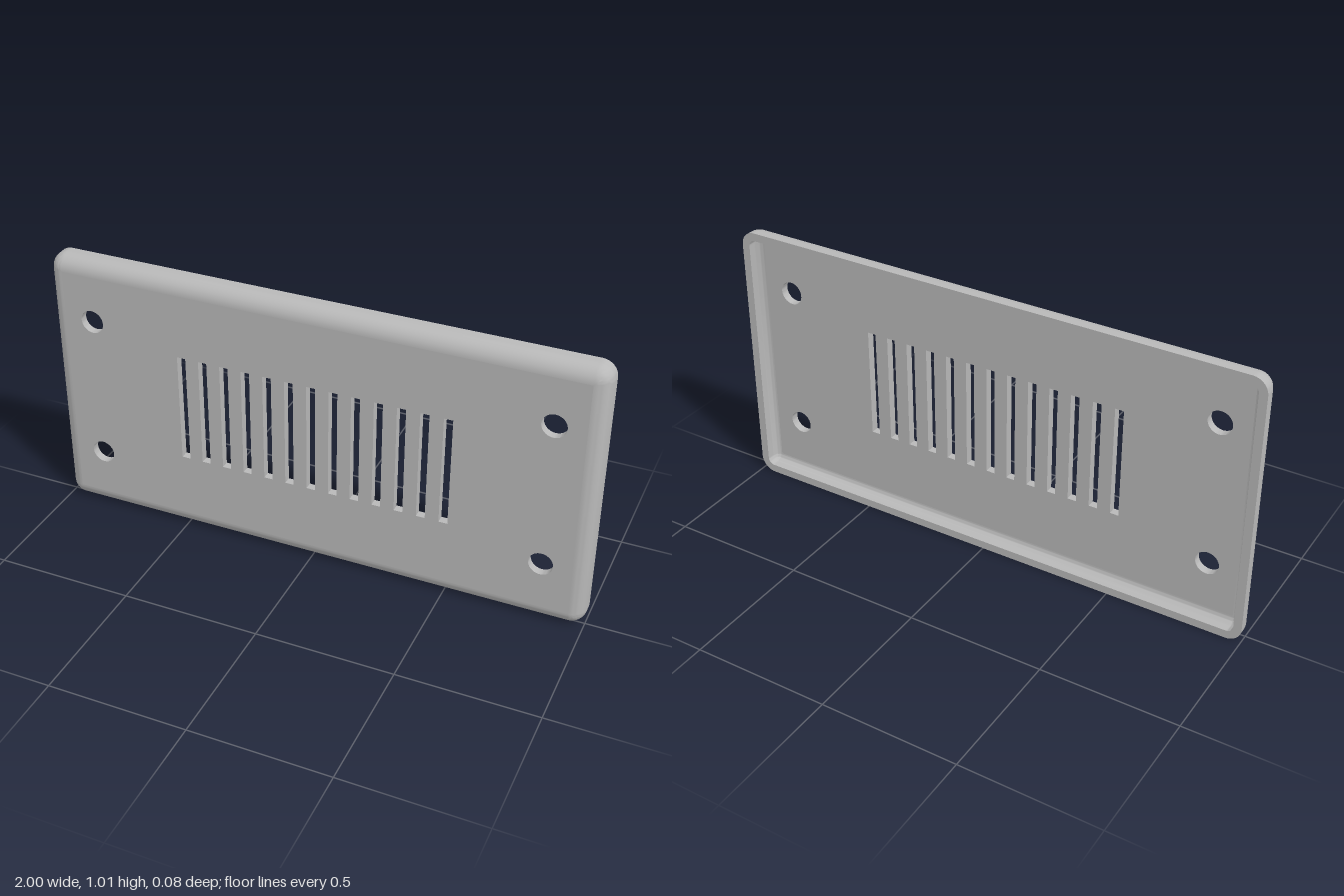
import * as THREE from 'three';
import { toCreasedNormals } from 'three/addons/utils/BufferGeometryUtils.js';

const W = 2, H = 1.008, D = 0.082; // overall size
const R = 0.055, WALL = 0.03;      // outer fillet radius, wall thickness
const STEPS = 10;                  // segments per quarter round

// Points of a rounded rectangle, counter-clockwise seen from the front
function loop(inset, z) {
  const r = R - inset, points = [];
  [[1, 1], [-1, 1], [-1, -1], [1, -1]].forEach(([sx, sy], corner) => {
    for (let i = 0; i <= STEPS; i++) {
      const a = (corner + i / STEPS) * Math.PI / 2;
      points.push([
        sx * (W / 2 - R) + r * Math.cos(a),
        H / 2 + sy * (H / 2 - R) + r * Math.sin(a), z]);
    }
  });
  return points;
}

// Edge cross-section swept round the plate: inner fillet, back lip, outer fillet
function rimGeometry() {
  const zc = D / 2 - R, profile = [];
  const arc = (radius, from, to) => {
    for (let i = 0; i <= STEPS; i++) {
      const a = from + (to - from) * i / STEPS;
      profile.push([R - radius * Math.cos(a), zc + radius * Math.sin(a)]);
    }
  };
  arc(R - WALL, Math.PI / 2, 0);
  profile.push([WALL, -D / 2], [0, -D / 2]);
  arc(R, 0, Math.PI / 2);

  const loops = profile.map(([inset, z]) => loop(inset, z));
  const n = loops[0].length, positions = [];
  for (let j = 0; j < loops.length - 1; j++) {
    for (let i = 0; i < n; i++) {
      const k = (i + 1) % n;
      const a = loops[j][i], b = loops[j][k], c = loops[j + 1][k], d = loops[j + 1][i];
      positions.push(...a, ...b, ...c, ...a, ...c, ...d);
    }
  }
  const geometry = new THREE.BufferGeometry();
  geometry.setAttribute('position', new THREE.Float32BufferAttribute(positions, 3));
  return toCreasedNormals(geometry, 0.6);
}

function rectangle(target, x0, y0, x1, y1) {
  target.moveTo(x0, y0).lineTo(x1, y0).lineTo(x1, y1).lineTo(x0, y1).closePath();
  return target;
}

// Flat panel with screw holes and vent slots
function panelGeometry() {
  const shape = rectangle(new THREE.Shape(), R - W / 2, R, W / 2 - R, H - R);
  for (const x of [-0.837, 0.837]) {
    for (const y of [0.233, 0.778]) {
      shape.holes.push(new THREE.Path().absarc(x, y, 0.043, 0, Math.PI * 2, true));
    }
  }
  for (let i = -6; i <= 6; i++) {
    const x = i * 0.0815;
    shape.holes.push(rectangle(new THREE.Path(), x - 0.016, 0.3, x + 0.016, 0.713));
  }
  const geometry = new THREE.ExtrudeGeometry(shape, {
    depth: WALL, bevelEnabled: false, curveSegments: 20 });
  geometry.translate(0, 0, D / 2 - WALL);
  return toCreasedNormals(geometry, 0.6);
}

export function createModel() {
  const group = new THREE.Group();
  group.name = 'ventCover';
  const grey = new THREE.MeshStandardMaterial({ color: 0xb8b8b8 });
  grey.name = 'grey';

  const panel = new THREE.Mesh(panelGeometry(), grey);
  panel.name = 'slottedPanel';
  const rim = new THREE.Mesh(rimGeometry(), grey);
  rim.name = 'roundedRim';
  group.add(panel, rim);
  return group;
}
